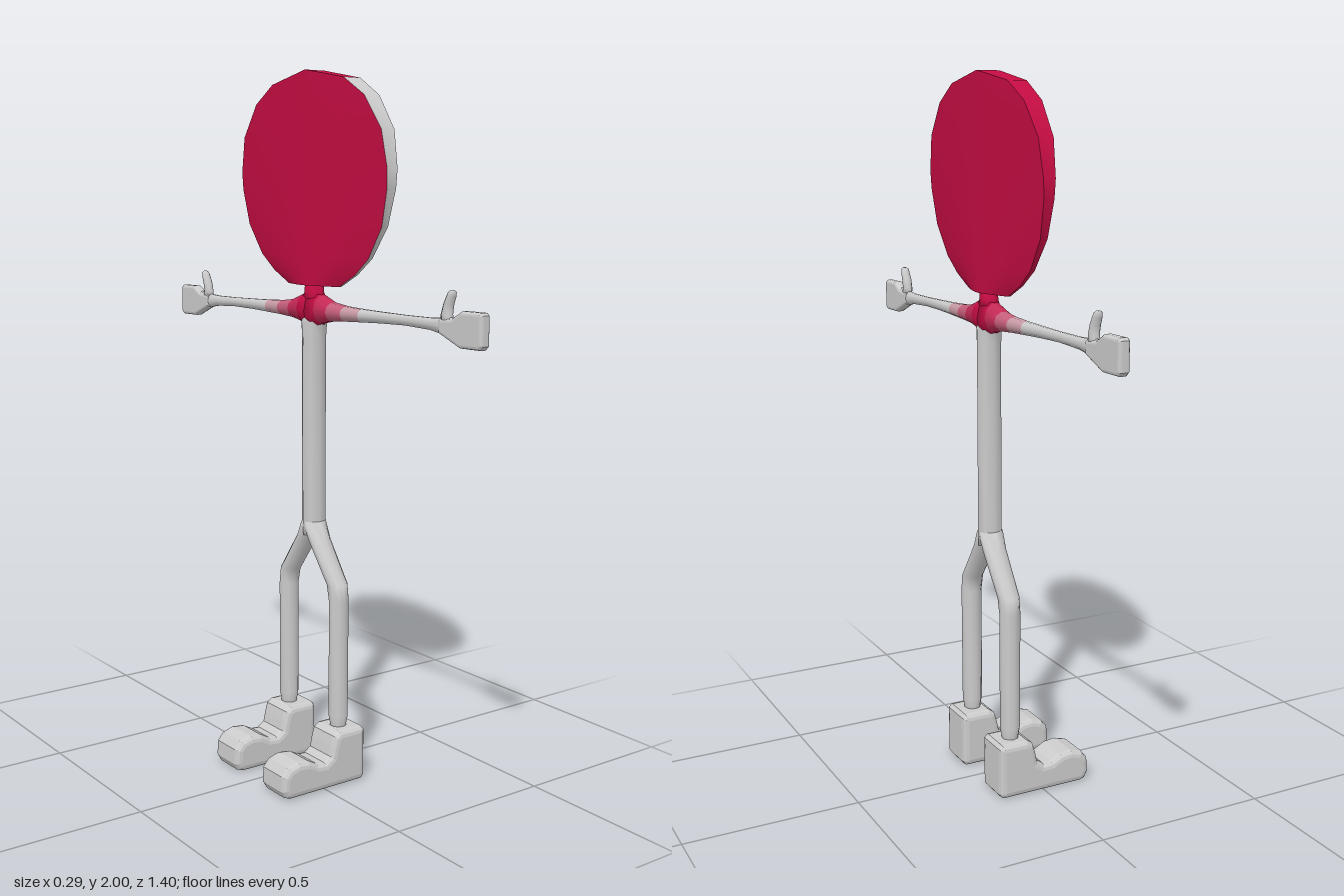
import * as THREE from 'three';

const mat = (color) => new THREE.MeshStandardMaterial({ color });
const grey = mat(0xcccccc), red = mat(0xc40d42);
const fades = [0xc40d42, 0xc52a55, 0xc75f7b, 0xc99ba6].map(mat);

function buffer(pos, index) {
  const g = new THREE.BufferGeometry();
  g.setAttribute('position', new THREE.Float32BufferAttribute(pos, 3));
  g.setIndex(index);
  g.computeVertexNormals();
  return g;
}

function mesh(name, geometry, material = grey) {
  const m = new THREE.Mesh(geometry, material);
  m.name = name;
  return m;
}

// Closed tube through rings of { c: centre, u, v: half axes }, with u x v along the path
function loft(rings, n = 10) {
  const pos = [], index = [];
  for (const { c, u, v } of rings) {
    for (let j = 0; j < n; j++) {
      const a = (j / n) * Math.PI * 2;
      for (let k = 0; k < 3; k++) pos.push(c[k] + u[k] * Math.cos(a) + v[k] * Math.sin(a));
    }
  }
  for (let i = 0; i < rings.length - 1; i++) {
    for (let j = 0; j < n; j++) {
      const a = i * n + j, b = i * n + (j + 1) % n;
      index.push(a, b, a + n, b, b + n, a + n);
    }
  }
  const last = (rings.length - 1) * n;
  for (let j = 1; j < n - 1; j++) {
    index.push(0, j + 1, j, last, last + j, last + j + 1);
  }
  return buffer(pos, index);
}

// Upright ring: height, sideways offset, half width along z, half depth along x
const level = (y, z, rz, rx) => ({ c: [0, y, z], u: [0, 0, rz], v: [rx, 0, 0] });

// Grid patch from a point function
function patch(rows, cols, f) {
  const pos = [], index = [];
  for (let i = 0; i < rows; i++) for (let j = 0; j < cols; j++) pos.push(...f(i, j));
  for (let i = 0; i < rows - 1; i++) {
    for (let j = 0; j < cols - 1; j++) {
      const a = i * cols + j, c = a + cols;
      index.push(a, a + 1, c, a + 1, c + 1, c);
    }
  }
  return buffer(pos, index);
}

// Bevelled slab from a side outline, centred on its thickness
function slab(points, width, bevel) {
  const shape = new THREE.Shape(points.map((p) => new THREE.Vector2(...p)));
  const depth = width - 2 * bevel;
  const g = new THREE.ExtrudeGeometry(shape, {
    depth, bevelSize: bevel, bevelThickness: bevel, bevelOffset: -bevel, bevelSegments: 3,
  });
  return g.translate(0, 0, -depth / 2);
}

// Flat head: thick along its upright centre line, thinning toward a wedge-shaped rim
function makeHead() {
  const head = new THREE.Group();
  head.name = 'head';
  const outline = [[0, 2], [0.165, 1.97], [0.25, 1.92], [0.318, 1.83], [0.338, 1.73], [0.336, 1.68],
    [0.31, 1.58], [0.25, 1.495], [0.19, 1.45], [0.12, 1.415]];
  const rows = outline.length, cols = 9, ridge = 0.034;
  const rim = (i) => (i === 0 ? ridge : 0.003 + 0.025 * (outline[i][1] - 1.415) / 0.555);
  const point = (i, t, side) => {
    const [w, y] = outline[i];
    const h = ridge + (rim(i) - ridge) * Math.abs(t) ** 1.4;
    return [side * h, y, w * t];
  };
  const across = (j) => (j / (cols - 1)) * 2 - 1;
  head.add(
    mesh('headFace', patch(rows, cols, (i, j) => point(i, across(j), 1)), red),
    mesh('headBack', patch(rows, cols, (i, j) => point(i, -across(j), -1)), red),
    mesh('headBase', patch(2, cols, (i, j) => point(rows - 1, across(j), i ? -1 : 1)), red),
    mesh('redRim', patch(rows, 2, (i, j) => point(i, -1, j ? 1 : -1)), red),
    mesh('rimTop', patch(2, 2, (i, j) => point(i, 1, j ? -1 : 1)), red),
    mesh('greyRim', patch(rows - 1, 2, (i, j) => point(i + 1, 1, j ? -1 : 1))),
  );
  return head;
}

// Arm with fading shoulder, mitten hand and thumb, reaching along +z
function makeArm() {
  const arm = new THREE.Group();
  arm.name = 'arm';
  // z, bottom, top, half depth
  const sections = [[0, 1.285, 1.4, 0.037], [0.04, 1.308, 1.39, 0.034], [0.09, 1.318, 1.372, 0.03],
    [0.15, 1.322, 1.365, 0.025], [0.22, 1.325, 1.362, 0.019], [0.3, 1.328, 1.36, 0.014],
    [0.4, 1.33, 1.358, 0.011], [0.5, 1.326, 1.358, 0.013], [0.56, 1.316, 1.362, 0.015],
    [0.61, 1.3, 1.37, 0.013]];
  const rings = sections.map(([z, lo, hi, rx]) => (
    { c: [0, (lo + hi) / 2, z], u: [rx, 0, 0], v: [0, (hi - lo) / 2, 0] }));
  const sides = 10, geometry = loft(rings, sides), segment = sides * 6;
  for (let i = 0; i < 4; i++) geometry.addGroup(i * segment, segment, i);
  geometry.addGroup(4 * segment, Infinity, 4);
  arm.add(mesh('sleeve', geometry, [...fades, grey]));

  const hand = slab([[0.54, 1.322], [0.62, 1.29], [0.69, 1.29], [0.7, 1.3], [0.7, 1.375],
    [0.693, 1.382], [0.625, 1.382], [0.59, 1.362], [0.54, 1.357]], 0.032, 0.009);
  arm.add(mesh('hand', hand.rotateY(-Math.PI / 2)));

  const thumb = [[1.345, 0.563, 0.024], [1.37, 0.558, 0.017], [1.395, 0.564, 0.014],
    [1.415, 0.573, 0.013], [1.426, 0.577, 0.011], [1.431, 0.578, 0.005]];
  arm.add(mesh('thumb', loft(thumb.map(([y, z, r]) => level(y, z, r, Math.min(r, 0.014))))));
  return arm;
}

// Bent leg with a rounded boot, on the +z side
function makeLeg() {
  const leg = new THREE.Group();
  leg.name = 'leg';
  leg.add(mesh('shin', loft([
    level(0.14, 0.122, 0.024, 0.022), level(0.165, 0.122, 0.024, 0.024),
    level(0.19, 0.122, 0.028, 0.029), level(0.53, 0.122, 0.028, 0.03),
    level(0.575, 0.114, 0.03, 0.031), level(0.69, 0.028, 0.03, 0.034),
    level(0.74, 0.004, 0.026, 0.036)])));
  return leg;
}

function makeBoot() {
  return slab([[-0.135, 0.005], [-0.12, 0], [0.13, 0], [0.14, 0.012], [0.14, 0.15], [0.13, 0.16],
    [0.052, 0.16], [0.034, 0.148], [0.026, 0.12], [0.02, 0.092], [0, 0.078], [-0.025, 0.08],
    [-0.055, 0.096], [-0.09, 0.1], [-0.125, 0.09], [-0.143, 0.068], [-0.146, 0.025]], 0.12, 0.018);
}

export function createModel() {
  const model = new THREE.Group();
  model.name = 'stickFigure';
  const figure = new THREE.Group();
  figure.name = 'figure';
  figure.position.x = 0.083;
  model.add(figure);

  figure.add(makeHead());
  figure.add(mesh('neck', loft([level(1.37, 0, 0.045, 0.03), level(1.395, 0, 0.032, 0.025),
    level(1.425, 0, 0.032, 0.022)], 8), red));
  figure.add(mesh('torso', loft([level(0.7, 0, 0.022, 0.036), level(0.74, 0, 0.03, 0.037),
    level(1.27, 0, 0.03, 0.037), level(1.31, 0, 0.036, 0.037), level(1.34, 0, 0.05, 0.03)], 8)));

  // Limbs repeat on both sides
  for (const turn of [0, Math.PI]) {
    const arm = makeArm(), leg = makeLeg();
    arm.rotation.y = leg.rotation.y = turn;
    figure.add(arm, leg);
    const boot = mesh('boot', makeBoot());
    boot.position.z = turn ? -0.12 : 0.12;
    model.add(boot);
  }
  return model;
}
